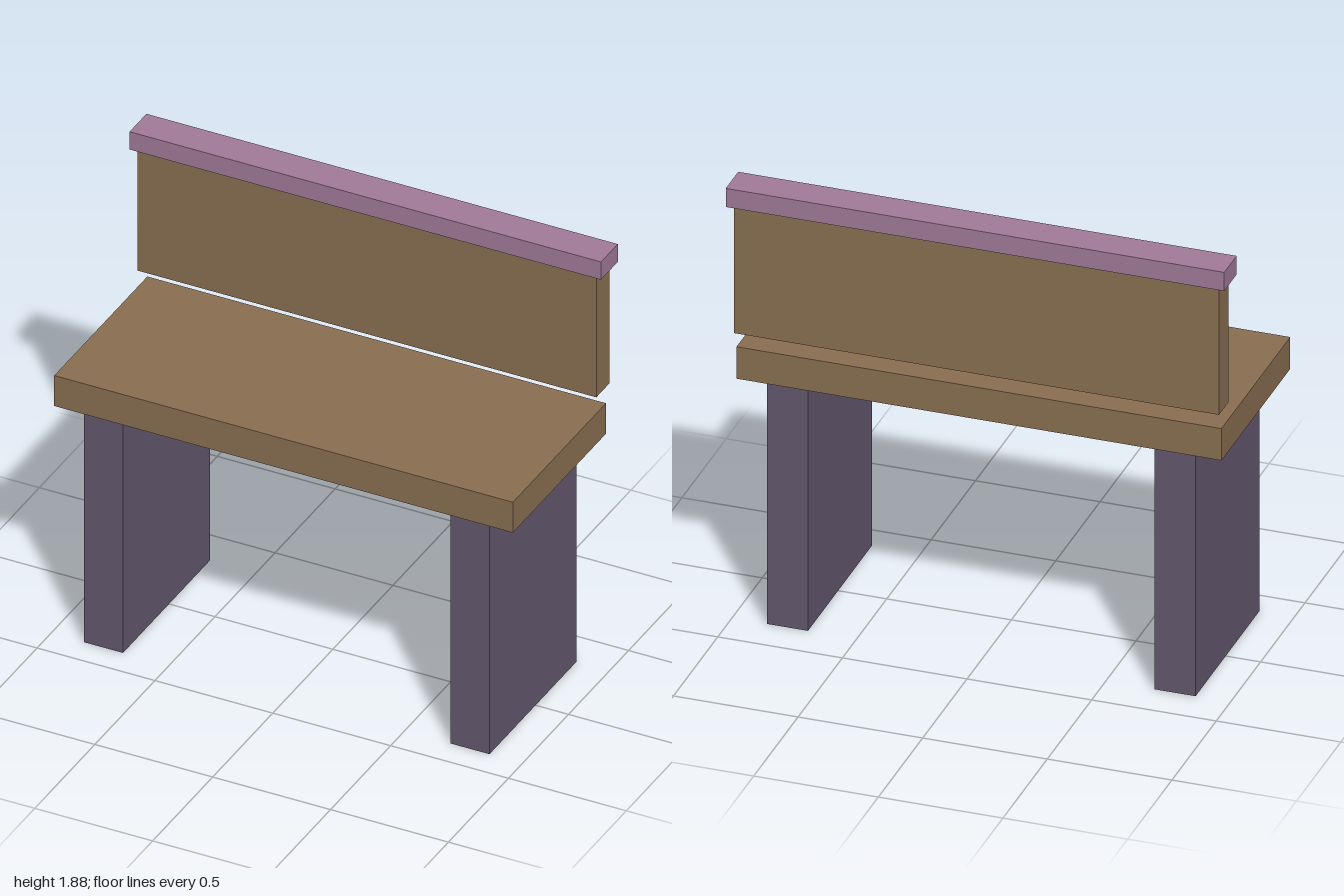
import * as THREE from 'three';

const wood = new THREE.MeshStandardMaterial({ color: 0x8b7052 });
const legPaint = new THREE.MeshStandardMaterial({ color: 0x64596f });
const railPaint = new THREE.MeshStandardMaterial({ color: 0xa27b9b });

// Box given by its [min, max] extent on each axis
function block(name, material, [x0, x1], [y0, y1], [z0, z1]) {
  const mesh = new THREE.Mesh(new THREE.BoxGeometry(x1 - x0, y1 - y0, z1 - z0), material);
  mesh.position.set((x0 + x1) / 2, (y0 + y1) / 2, (z0 + z1) / 2);
  mesh.name = name;
  return mesh;
}

export function createModel() {
  const bench = new THREE.Group();
  bench.name = 'bench';

  // Slab legs
  bench.add(block('leftLeg', legPaint, [0.695, 0.86], [0, 1.045], [-0.34, 0.383]));
  bench.add(block('rightLeg', legPaint, [-0.86, -0.695], [0, 1.045], [-0.34, 0.383]));

  // Seat, and the backrest floating just above it
  bench.add(block('seat', wood, [-0.973, 0.973], [1.045, 1.182], [-0.365, 0.41]));
  bench.add(block('backrest', wood, [-0.973, 0.973], [1.255, 1.8], [-0.393, -0.284]));

  // Cap rail along the top of the backrest
  bench.add(block('topRail', railPaint, [-1, 1], [1.8, 1.88], [-0.41, -0.27]));

  return bench;
}
